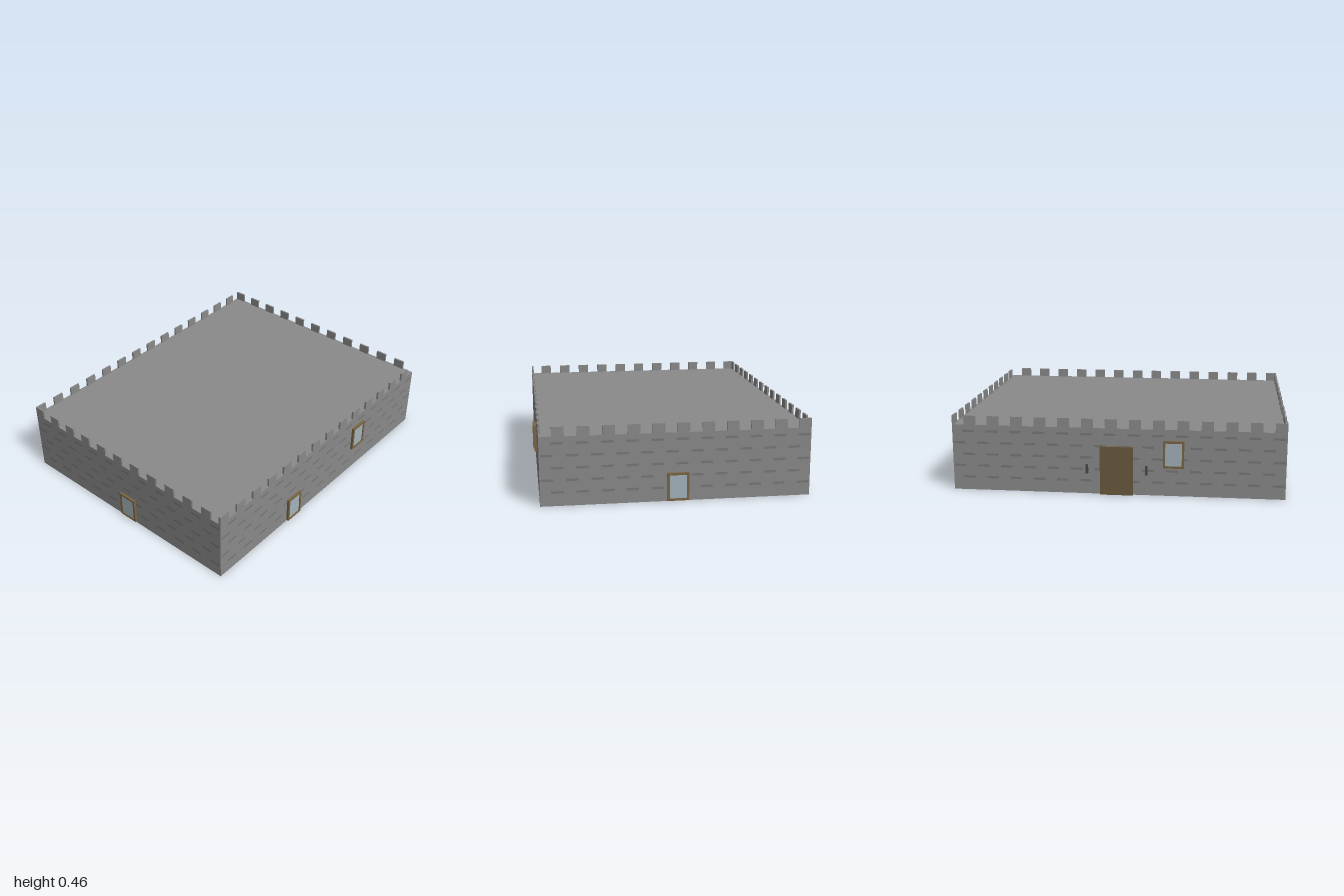
import * as THREE from 'three';
import { mergeGeometries } from 'three/addons/utils/BufferGeometryUtils.js';

const mat = (color) => new THREE.MeshStandardMaterial({ color });
const stone = mat(0x8a8a8a), darkStone = mat(0x787878), wood = mat(0x7a6544);
const doorWood = mat(0x6b5a3e), glass = mat(0xa3b3bb), iron = mat(0x4a4a44);

const WIDTH = 1.97, DEPTH = 1.552, HEIGHT = 0.4;
const CX = -0.0025, CZ = 0.004;
const BLOCK = 0.141, MERLON_W = 0.07, MERLON_H = 0.055, MERLON_T = 0.012;

function add(parent, name, geometry, material, x = 0, y = 0, z = 0) {
  const mesh = new THREE.Mesh(geometry, material);
  mesh.name = name;
  mesh.position.set(x, y, z);
  parent.add(mesh);
  return mesh;
}

// Window with a wooden surround, centred at x with its sill at y, standing out of the wall
function addWindow(parent, x, y, w = 0.123, h = 0.163) {
  const win = new THREE.Group();
  win.name = 'window';
  win.position.set(x, y + h / 2, 0);
  const rect = (path, a, b) => path.moveTo(-a, -b).lineTo(a, -b).lineTo(a, b).lineTo(-a, b).closePath();
  const border = 0.013;
  const shape = rect(new THREE.Shape(), w / 2, h / 2);
  shape.holes.push(rect(new THREE.Path(), w / 2 - border, h / 2 - border));
  add(win, 'windowFrame', new THREE.ExtrudeGeometry(shape, { depth: 0.015, bevelEnabled: false }), wood);
  add(win, 'windowPane', new THREE.BoxGeometry(w - 2 * border, h - 2 * border, 0.01), glass, 0, 0, 0.005);
  parent.add(win);
}

// One side of the building; local +z points outwards, local x runs along the wall
function makeSide(name, length, angle, gapFirst) {
  const side = new THREE.Group();
  side.name = name;
  side.rotation.y = angle;
  const reach = (Math.abs(Math.sin(angle)) > 0.5 ? WIDTH : DEPTH) / 2;
  side.position.set(CX + Math.sin(angle) * reach, 0, CZ + Math.cos(angle) * reach);

  // Battlements
  const count = Math.round(length / BLOCK), step = length / count;
  const start = -length / 2 + (gapFirst ? step - MERLON_W / 2 : MERLON_W / 2);
  for (let i = 0; i < count; i++) {
    add(side, 'merlon', new THREE.BoxGeometry(MERLON_W, MERLON_H, MERLON_T), stone,
      start + i * step, HEIGHT + MERLON_H / 2, -MERLON_T / 2);
  }

  // Staggered courses of darker mortar, almost flush with the wall
  const courses = [];
  for (let row = 0; row < 5; row++) {
    for (let i = 0; i < count; i++) {
      const x = -length / 2 + (i + (row % 2 ? 0.3 : 0.7)) * step;
      courses.push(new THREE.PlaneGeometry(0.07, 0.014).translate(x, 0.08 + row * BLOCK / 2, 0.001));
    }
  }
  add(side, 'mortarCourses', mergeGeometries(courses), darkStone);
  return side;
}

export function createModel() {
  const model = new THREE.Group();
  model.name = 'battlementedHall';

  // Solid hall with a flat roof
  add(model, 'hall', new THREE.BoxGeometry(WIDTH, HEIGHT, DEPTH), stone, CX, HEIGHT / 2, CZ);

  const front = makeSide('frontWall', WIDTH, 0, false);
  const right = makeSide('rightWall', DEPTH, Math.PI / 2, true);
  const back = makeSide('backWall', WIDTH, Math.PI, true);
  const left = makeSide('leftWall', DEPTH, -Math.PI / 2, false);
  model.add(front, right, back, left);

  // Windows
  addWindow(front, -0.316, 0.006);
  addWindow(front, 0.345, 0.162);
  addWindow(right, 0.004, 0.004);
  addWindow(left, 0.036, 0.015);
  addWindow(back, 0.333, 0.172);

  // Back door: a panel on a narrower backing
  add(back, 'doorBacking', new THREE.BoxGeometry(0.17, 0.28, 0.016), wood, 0, 0.142, 0.008);
  add(back, 'door', new THREE.BoxGeometry(0.196, 0.293, 0.011), doorWood, 0, 0.149, 0.02);

  // Lamps hanging either side of the door
  for (const x of [-0.175, 0.175]) {
    add(back, 'lamp', new THREE.BoxGeometry(0.014, 0.055, 0.012), iron, x, 0.157, 0.019);
  }
  return model;
}
